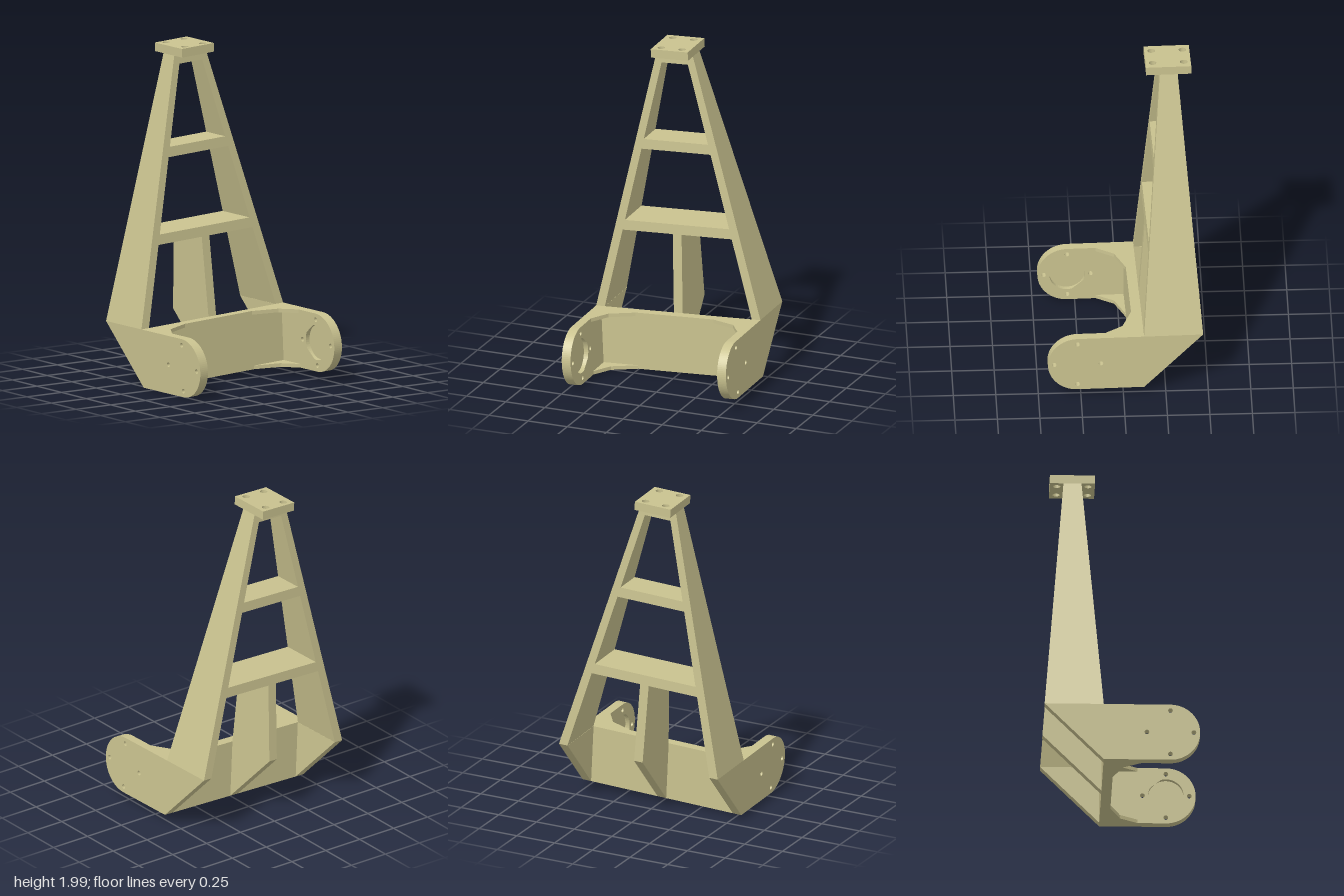
import * as THREE from 'three';

const BASE = 0.35, NECK = 1.915;          // heights of base top and tower top
const HALF = 0.52, WALL = 0.056;          // half width and wall thickness
const HUB = { z: 0.282, y: 0.175, r: 0.175 };

// Tower outline at height y: outer and inner half width, back and front
function tower(y) {
  const t = (y - BASE) / (NECK - BASE), mix = (a, b) => a + (b - a) * t;
  return { outer: mix(HALF, 0.116), inner: mix(0.465, 0.07), back: mix(-0.458, -0.338), front: mix(-0.11, -0.232) };
}

// Box between two heights whose ends are rectangles [x0, x1, z0, z1]
function taperedBox(y0, y1, low, high) {
  const g = new THREE.BoxGeometry(1, 1, 1), p = g.attributes.position;
  for (let i = 0; i < p.count; i++) {
    const up = p.getY(i) > 0, e = up ? high : low;
    p.setXYZ(i, p.getX(i) < 0 ? e[0] : e[1], up ? y1 : y0, p.getZ(i) < 0 ? e[2] : e[3]);
  }
  g.computeVertexNormals();
  return g;
}

// Side-on shape (z, y) given thickness from x0 to x1
function sideExtrude(shape, x0, x1) {
  const g = new THREE.ExtrudeGeometry(shape, { depth: x1 - x0, bevelEnabled: false, curveSegments: 24 });
  return g.rotateY(-Math.PI / 2).translate(x1, 0, 0);
}

// Plan shape (x, -z) given height from y0 to y1
function planExtrude(shape, y0, y1) {
  const g = new THREE.ExtrudeGeometry(shape, { depth: y1 - y0, bevelEnabled: false, curveSegments: 12 });
  return g.rotateX(-Math.PI / 2).translate(0, y0, 0);
}

const polygon = pts => new THREE.Shape(pts.map(([x, y]) => new THREE.Vector2(x, y)));

function addHole(shape, x, y, r) {
  const h = new THREE.Path();
  h.absarc(x, y, r, 0, Math.PI * 2, true);
  shape.holes.push(h);
}

// Base side plate with rounded arm and four bolt holes, optionally a bearing seat
function armShape(seat) {
  const s = new THREE.Shape();
  s.moveTo(-0.11, 0);
  s.lineTo(HUB.z, 0);
  s.absarc(HUB.z, HUB.y, HUB.r, -Math.PI / 2, Math.PI / 2, false);
  s.lineTo(-0.458, BASE);
  s.closePath();
  for (let i = 0; i < 4; i++) {
    const a = i * Math.PI / 2;
    addHole(s, HUB.z + 0.138 * Math.cos(a), HUB.y + 0.138 * Math.sin(a), 0.014);
  }
  if (seat) addHole(s, HUB.z, HUB.y, 0.105);
  return s;
}

export function createModel() {
  const model = new THREE.Group();
  model.name = 'towerBracket';
  const material = new THREE.MeshStandardMaterial({ color: 0xc9c28f });
  const add = (name, geometry) => {
    const m = new THREE.Mesh(geometry, material);
    m.name = name;
    model.add(m);
  };

  const lo = tower(BASE), hi = tower(NECK);
  for (const [side, s] of [['left', 1], ['right', -1]]) {
    const span = (a, b) => (s > 0 ? [a, b] : [-b, -a]);

    // Arm in two layers: solid outside, bearing seat open on the inside
    add(side + 'ArmOuter', sideExtrude(armShape(false), ...span(HALF - WALL / 2, HALF)));
    add(side + 'ArmInner', sideExtrude(armShape(true), ...span(HALF - WALL, HALF - WALL / 2)));

    // Leaning tower wall
    add(side + 'TowerWall', taperedBox(BASE, NECK,
      [...span(lo.inner, lo.outer), lo.back, lo.front],
      [...span(hi.inner, hi.outer), hi.back, hi.front]));

    // Corner gussets along the top and bottom of the cross plate
    const gusset = polygon([[0.466, 0.118], [0.395, 0.01], [0.247, -0.049], [0.247, -0.06], [0.48, -0.06], [0.48, 0.118]]
      .map(([x, z]) => [s * x, -z]));
    add(side + 'LowerGusset', planExtrude(gusset, 0, 0.022));
    add(side + 'UpperGusset', planExtrude(gusset, BASE - 0.022, BASE));
  }

  // Cross plate joining the arms
  add('crossPlate', taperedBox(0, BASE, [-0.47, 0.47, -0.11, -0.05], [-0.47, 0.47, -0.11, -0.05]));

  // Shelves between the tower walls
  const rect = y => {
    const t = tower(y), w = (t.inner + t.outer) / 2;
    return [-w, w, t.back, t.front];
  };
  for (const [name, y0, y1] of [['lowerShelf', 0.825, 0.885], ['upperShelf', 1.327, 1.387], ['neckBlock', 1.862, NECK]])
    add(name, taperedBox(y0, y1, rect(y0), rect(y1)));

  // Centre rib below the lower shelf
  const ribTop = tower(0.83);
  add('centreRib', sideExtrude(polygon([[-0.11, 0], [-0.11, BASE], [ribTop.front, 0.83],
    [ribTop.back, 0.83], [-0.458, BASE]]), -0.028, 0.028));

  // Mounting plate with four holes
  const cz = 0.285, plate = polygon([[-0.117, cz - 0.133], [0.117, cz - 0.133], [0.117, cz + 0.133], [-0.117, cz + 0.133]]);
  for (const sx of [-1, 1]) for (const sz of [-1, 1]) addHole(plate, sx * 0.066, cz + sz * 0.092, 0.022);
  add('mountingPlate', planExtrude(plate, NECK, 1.967));

  // Slight overall tilt and turn
  model.rotation.set(0, 0.025, 0.046);
  model.position.set(0.005, 0.025, 0);
  return model;
}
